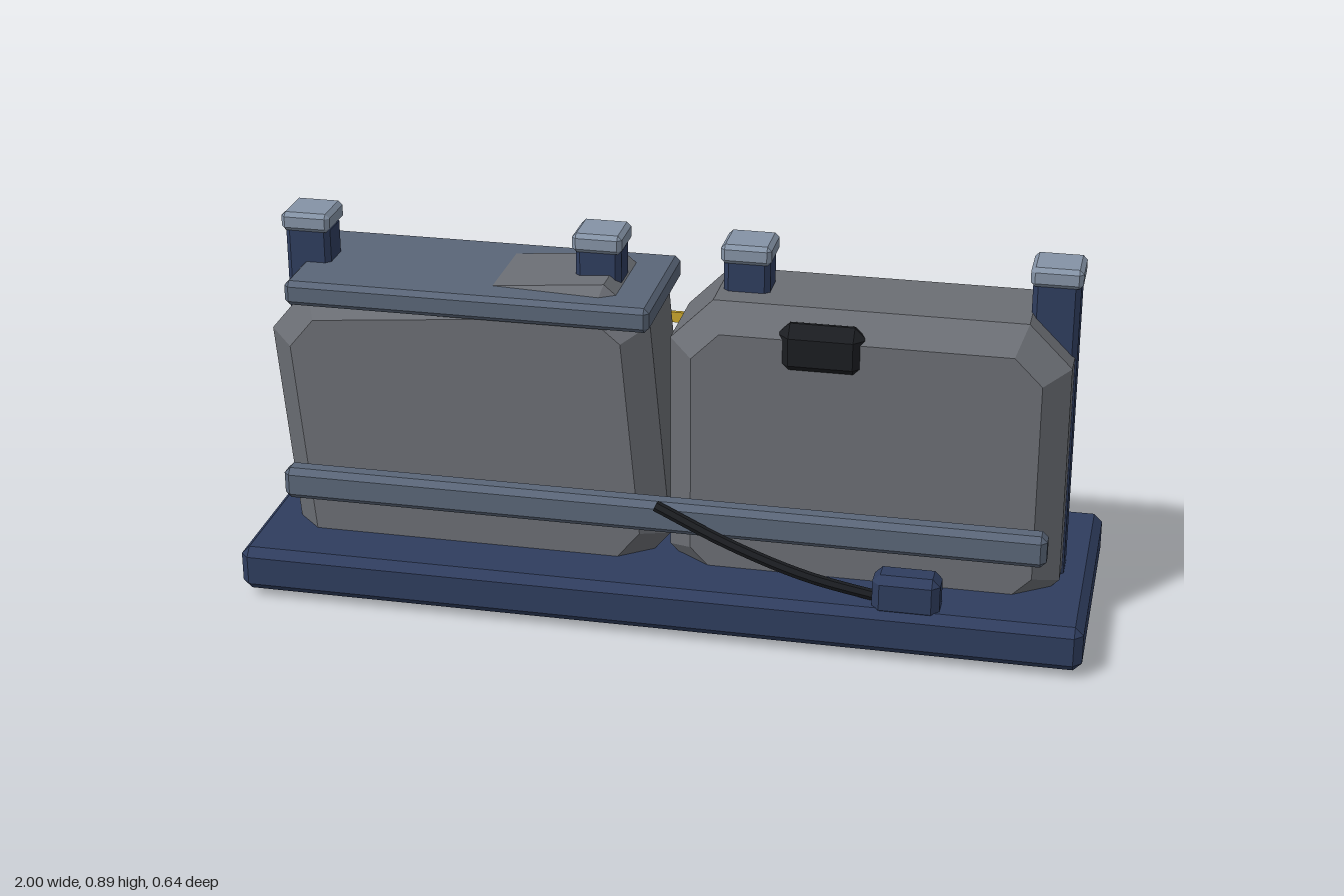
import * as THREE from 'three';
import { ConvexGeometry } from 'three/addons/geometries/ConvexGeometry.js';

const mat = (color) => new THREE.MeshStandardMaterial({ color, flatShading: true });

// Box with every edge cut off by c
function chamferBox(w, h, d, c) {
  const points = [];
  for (const x of [-w / 2, w / 2])
    for (const y of [-h / 2, h / 2])
      for (const z of [-d / 2, d / 2]) {
        const ix = x - Math.sign(x) * c, iy = y - Math.sign(y) * c, iz = z - Math.sign(z) * c;
        points.push(
          new THREE.Vector3(x, iy, iz),
          new THREE.Vector3(ix, y, iz),
          new THREE.Vector3(ix, iy, z)
        );
      }
  return new ConvexGeometry(points);
}

// Octagonal slab with bevelled front and back rims
function tankGeometry(w, h, d, cut, bevel) {
  const x = w / 2, y = h / 2;
  const shape = new THREE.Shape([
    [-x + cut, -y], [x - cut, -y], [x, -y + cut], [x, y - cut],
    [x - cut, y], [-x + cut, y], [-x, y - cut], [-x, -y + cut],
  ].map(([px, py]) => new THREE.Vector2(px, py)));
  const depth = d - 2 * bevel;
  return new THREE.ExtrudeGeometry(shape, {
    depth, bevelEnabled: true, bevelSegments: 1,
    bevelThickness: bevel, bevelSize: bevel, bevelOffset: -bevel,
  }).translate(0, 0, -depth / 2);
}

export function createModel() {
  const model = new THREE.Group();
  const navy = mat(0x2f3d5e), body = mat(0x6b6e74), steel = mat(0x5a6678);
  const cap = mat(0x8593a6), dark = mat(0x1b1d21), orange = mat(0xb98230), yellow = mat(0xc9a52c);

  const add = (name, geometry, material, x, y, z, tilt = 0) => {
    const mesh = new THREE.Mesh(geometry, material);
    mesh.name = name;
    mesh.position.set(x, y, z);
    mesh.rotation.z = tilt;
    model.add(mesh);
    return mesh;
  };

  // Base slab
  add('base', chamferBox(2, 0.11, 0.633, 0.02), navy, 0, 0.075, 0.004);

  // Two tanks, one of them tipped over slightly
  const tank = tankGeometry(0.92, 0.73, 0.335, 0.1, 0.06);
  add('uprightTank', tank, body, 0.467, 0.413, 0.003);
  add('tiltedTank', tank, body, -0.475, 0.398, 0.003, 0.09);

  // Lid lying on the tipped tank
  add('lid', chamferBox(0.87, 0.06, 0.368, 0.012), steel, -0.463, 0.74, 0.004);

  // Corner posts with caps
  const post = chamferBox(0.108, 0.76, 0.094, 0.012);
  const postCap = chamferBox(0.118, 0.046, 0.118, 0.01);
  for (const x of [-0.882, -0.178, 0.172, 0.878]) {
    add('post', post, navy, x, 0.48, 0.003);
    add('postCap', postCap, cap, x, 0.87, 0.003);
  }

  // Guard rails and handles on both sides
  const rail = chamferBox(1.81, 0.078, 0.058, 0.014);
  const handle = chamferBox(0.204, 0.122, 0.064, 0.028);
  for (const side of [-1, 1]) {
    add('guardRail', rail, steel, -0.003, 0.272, 0.003 + side * 0.206);
    add('handle', handle, dark, 0.367, 0.694, 0.003 + side * 0.15);
  }

  // Back panel
  add('backPanel', new THREE.BoxGeometry(0.54, 0.36, 0.012), dark, 0.308, 0.39, -0.166);

  // Scuff strips on the back: x, y, length, tilt
  const strips = [
    [0.643, 0.364, 0.14, 1.08],
    [0.331, 0.51, 0.13, -0.53],
    [-0.187, 0.332, 0.13, 0.33],
    [-0.555, 0.5, 0.115, 1.22],
  ];
  for (const [x, y, length, tilt] of strips)
    add('scuffStrip', new THREE.BoxGeometry(length, 0.028, 0.014), dark, x, y, -0.168, tilt);

  // Yellow tag bridging the two tanks
  add('tag', new THREE.BoxGeometry(0.115, 0.026, 0.01), yellow, 0, 0.607, -0.185);

  // Hazard marks along the back edge of the base
  const mark = new THREE.BoxGeometry(0.08, 0.05, 0.012);
  for (let i = 0; i < 10; i++)
    add('hazardMark', mark, orange, -0.868 + i * 0.1965, 0.081, -0.314, -0.5);

  // Cable running down to its plug box
  const path = new THREE.CatmullRomCurve3([
    new THREE.Vector3(0, 0.308, 0.242),
    new THREE.Vector3(0.18, 0.236, 0.262),
    new THREE.Vector3(0.36, 0.176, 0.267),
    new THREE.Vector3(0.56, 0.13, 0.255),
  ]);
  add('cable', new THREE.TubeGeometry(path, 16, 0.013, 6), dark, 0, 0, 0);
  add('plugBox', chamferBox(0.156, 0.1, 0.08, 0.018), navy, 0.593, 0.16, 0.267);

  return model;
}
